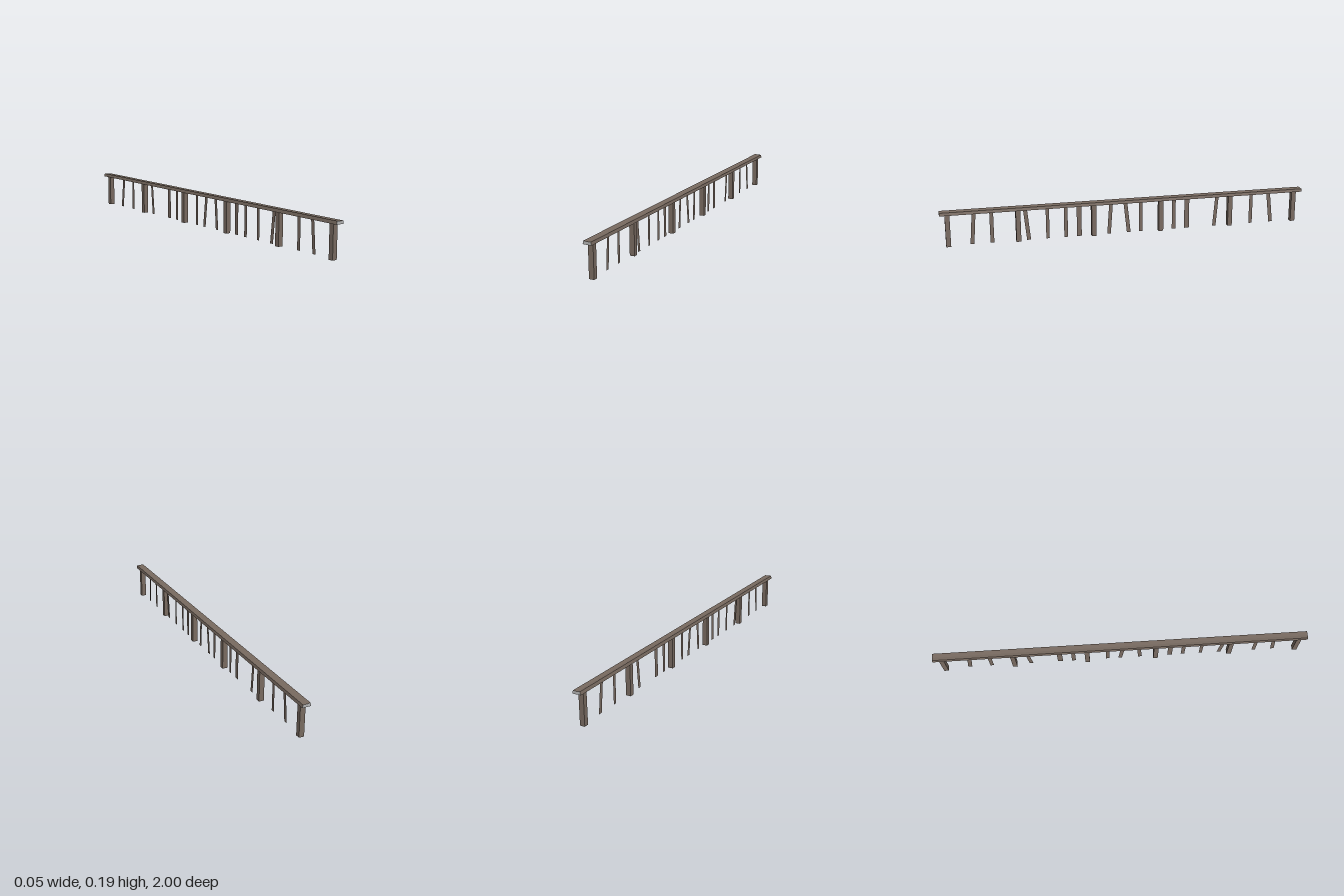
import * as THREE from 'three';

export function createModel() {
  const model = new THREE.Group();
  const wood = new THREE.MeshStandardMaterial({ color: 0x786a60, side: THREE.DoubleSide });
  wood.name = 'weathered wood';
  const endGrain = new THREE.MeshStandardMaterial({ color: 0xb2b2b2 });
  endGrain.name = 'pale end grain';

  const add = (geometry, material, name) => {
    const mesh = new THREE.Mesh(geometry, material);
    mesh.name = name;
    model.add(mesh);
    return mesh;
  };

  // Handrail with slanted sides and pale cut ends
  const profile = [[-0.024, 0.172], [0.022, 0.171], [0.019, 0.187], [-0.004, 0.187], [-0.02, 0.189]];
  const section = new THREE.Shape(profile.map(([x, y]) => new THREE.Vector2(x, y)));
  const railGeometry = new THREE.ExtrudeGeometry(section, { depth: 2, bevelEnabled: false });
  railGeometry.translate(0, 0, -1);
  add(railGeometry, [endGrain, wood], 'handrail');

  // Square supporting posts
  const postHeight = 0.173;
  for (const z of [0.96, 0.596, 0.191, -0.182, -0.58, -0.957]) {
    const post = add(new THREE.BoxGeometry(0.027, postHeight, 0.025), wood, 'post');
    post.position.set(-0.001, postHeight / 2, z);
  }

  // Flat slats: z at the top, z at the bottom, width
  const slats = [
    [0.824, 0.838, 0.02], [0.734, 0.734, 0.02], [0.558, 0.541, 0.021],
    [0.44, 0.44, 0.018], [0.342, 0.342, 0.02], [0.27, 0.27, 0.026],
    [0.095, 0.107, 0.02], [0.016, -0.003, 0.021], [-0.07, -0.07, 0.019],
    [-0.257, -0.257, 0.021], [-0.331, -0.331, 0.028], [-0.505, -0.491, 0.02],
    [-0.706, -0.706, 0.02], [-0.807, -0.827, 0.022],
  ];
  for (const [top, bottom, width] of slats) {
    const geometry = new THREE.PlaneGeometry(width, 0.17);
    geometry.rotateY(Math.PI / 2);
    geometry.translate(0, 0.088, 0);
    const p = geometry.attributes.position;
    for (let i = 0; i < p.count; i++) {
      p.setZ(i, p.getZ(i) + (p.getY(i) > 0.088 ? top : bottom));
    }
    add(geometry, wood, 'slat');
  }

  return model;
}
